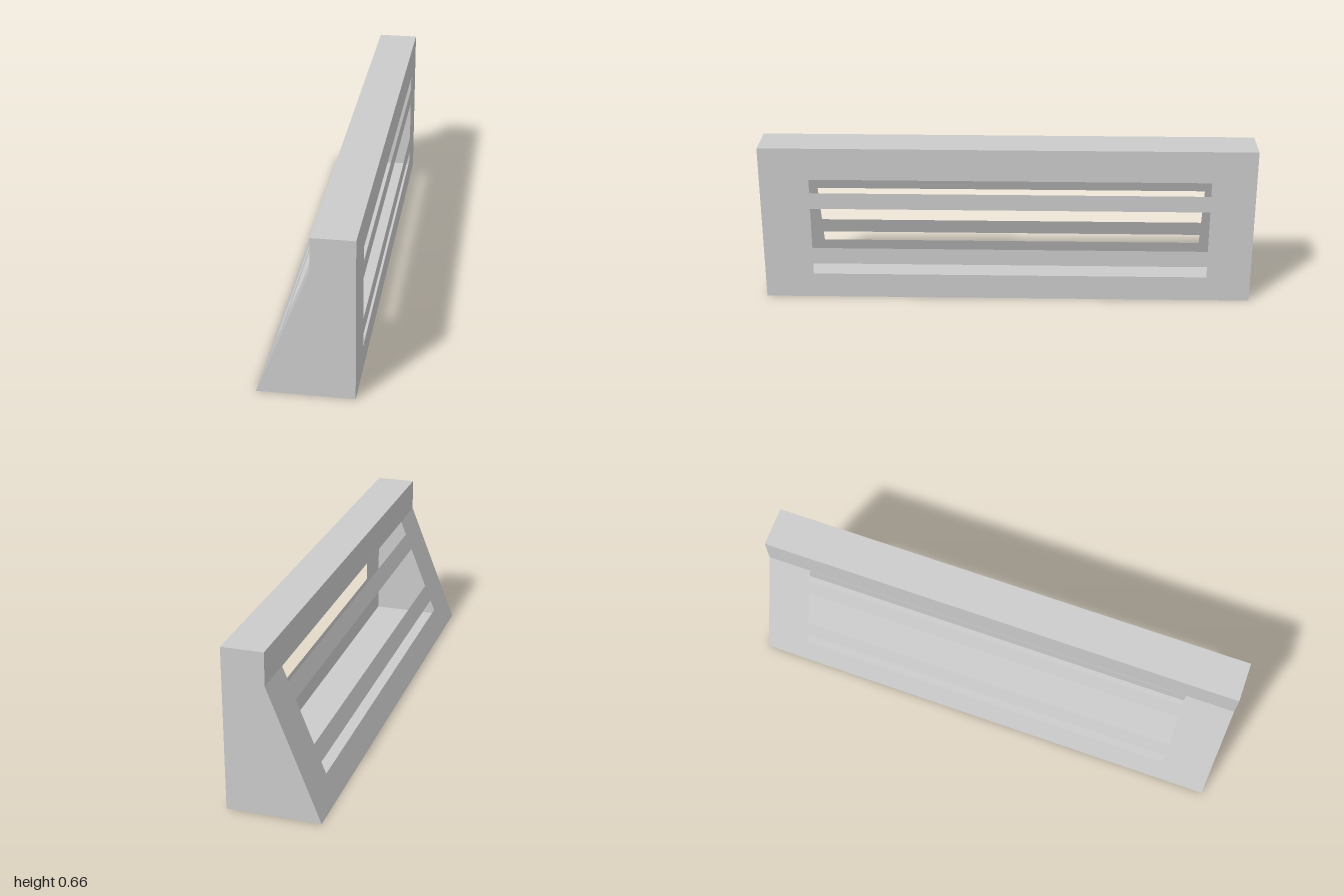
import * as THREE from 'three';

const W = 0.186, STEP_X = 0.021, STEP_Y = 0.527, H = 0.66;
const SLOTS = [[0.105, 0.152], [0.222, 0.398], [0.467, 0.526]];
const SLOT_BACK = -0.82, SLOT_FRONT = 0.8;

function rect(Type, u0, u1, v0, v1) {
  return new Type([[u0, v0], [u1, v0], [u1, v1], [u0, v1]].map(([u, v]) => new THREE.Vector2(u, v)));
}

// Long upright sheet; side is +1 or -1 for the direction it faces along x
function longPanel(side, y0, y1, slots, xAt) {
  const shape = rect(THREE.Shape, -1, 1, y0, y1);
  for (const [a, b] of slots) {
    const ends = [-side * SLOT_BACK, -side * SLOT_FRONT].sort((p, q) => p - q);
    shape.holes.push(rect(THREE.Path, ends[0], ends[1], a, b));
  }
  const geo = new THREE.ShapeGeometry(shape).rotateY(side * Math.PI / 2);
  const pos = geo.attributes.position;
  for (let i = 0; i < pos.count; i++) pos.setX(i, xAt(pos.getY(i)));
  geo.computeVertexNormals();
  return geo;
}

export function createModel() {
  const group = new THREE.Group();
  // The body is a hollow shell of thin sheets
  const mat = new THREE.MeshStandardMaterial({ color: 0xcccccc, side: THREE.DoubleSide, flatShading: true });
  const add = (name, geo) => {
    const mesh = new THREE.Mesh(geo, mat);
    mesh.name = name;
    group.add(mesh);
    return mesh;
  };

  // Slotted long walls and the plain upright band above the slope
  add('slottedUprightWall', longPanel(1, 0, H, SLOTS, () => W));
  add('slottedSlopingWall', longPanel(-1, 0, STEP_Y, SLOTS, y => -W + (STEP_X + W) * y / STEP_Y));
  add('upperBand', longPanel(-1, STEP_Y, H, [], () => STEP_X));

  // Floor and top
  add('floor', new THREE.PlaneGeometry(2 * W, 2).rotateX(Math.PI / 2));
  add('top', new THREE.PlaneGeometry(W - STEP_X, 2).rotateX(-Math.PI / 2)
    .translate((W + STEP_X) / 2, H, 0));

  // End walls share the stepped, sloping profile
  const profile = new THREE.Shape([[-W, 0], [W, 0], [W, H], [STEP_X, H], [STEP_X, STEP_Y]]
    .map(([x, y]) => new THREE.Vector2(x, y)));
  add('frontEnd', new THREE.ShapeGeometry(profile)).position.z = 1;
  const back = new THREE.ShapeGeometry(profile);
  const idx = back.index.array;
  for (let i = 0; i < idx.length; i += 3) [idx[i], idx[i + 1]] = [idx[i + 1], idx[i]];
  back.computeVertexNormals();
  add('backEnd', back).position.z = -1;

  return group;
}
